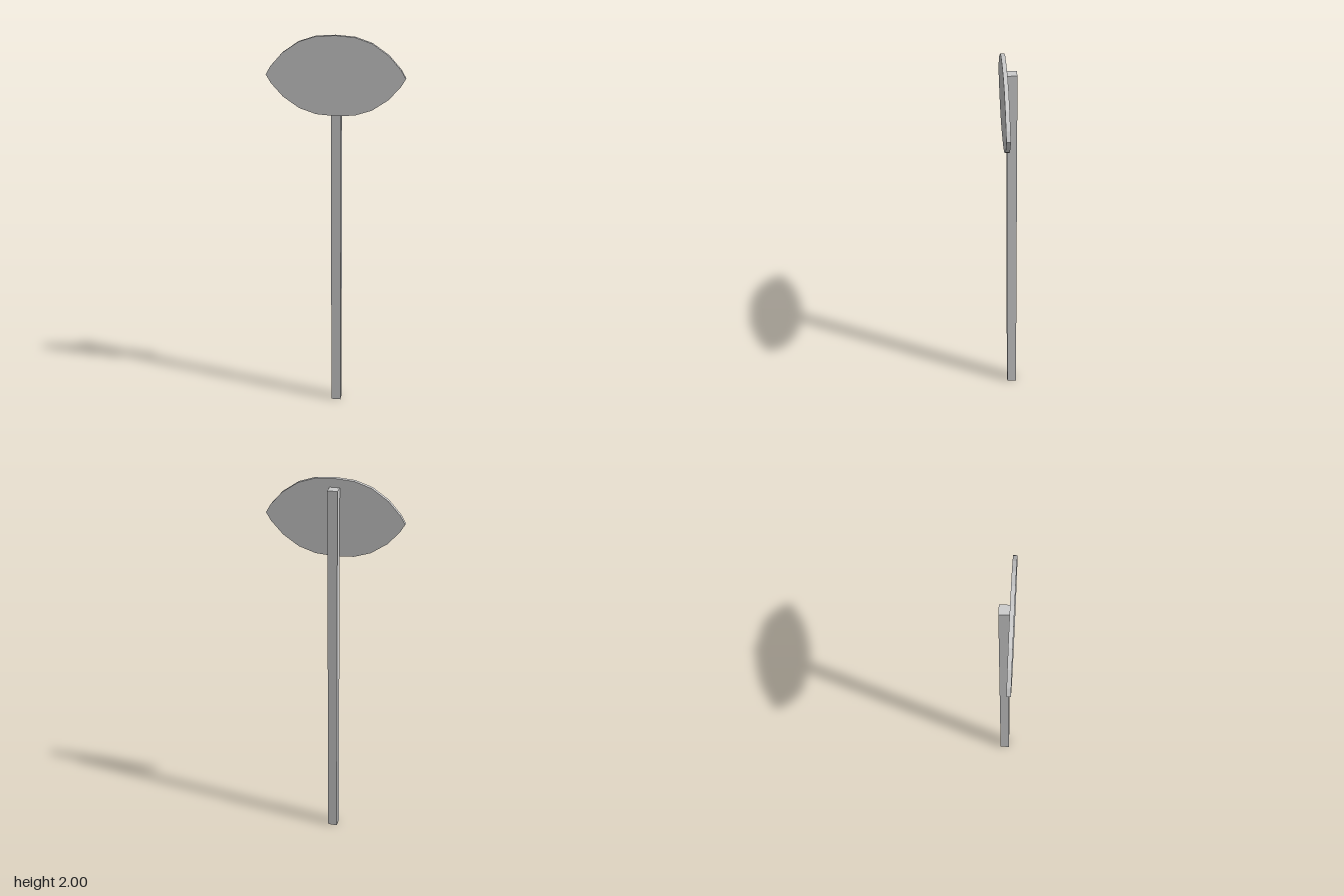
import * as THREE from 'three';

export function createModel() {
  const group = new THREE.Group();
  const material = new THREE.MeshStandardMaterial({ color: 0xcccccc, flatShading: true, side: THREE.DoubleSide });

  // Square post, open at the foot
  const postHeight = 1.955;
  const postGeometry = new THREE.BoxGeometry(0.049, postHeight, 0.049);
  const index = Array.from(postGeometry.index.array);
  index.splice(18, 6); // remove the bottom face
  postGeometry.setIndex(index);
  const post = new THREE.Mesh(postGeometry, material);
  post.name = 'post';
  post.position.set(0, postHeight / 2, -0.0105);
  group.add(post);

  // Lens-shaped plate: one quarter outline, mirrored to all four quarters
  const quarter = [[0.342, 0], [0.318, 0.042], [0.259, 0.109], [0.179, 0.165], [0.096, 0.193], [0, 0.2]];
  const upper = [...quarter, ...quarter.slice(0, -1).reverse().map(([x, y]) => [-x, y])];
  const lower = upper.slice(1, -1).reverse().map(([x, y]) => [x, -y * 0.985]);
  const outline = new THREE.Shape([...upper, ...lower].map(([x, y]) => new THREE.Vector2(x, y)));
  const plate = new THREE.Mesh(
    new THREE.ExtrudeGeometry(outline, { depth: 0.02, bevelEnabled: false }),
    material
  );
  plate.name = 'signPlate';
  plate.position.set(0, 1.8, 0.014);
  group.add(plate);

  return group;
}
